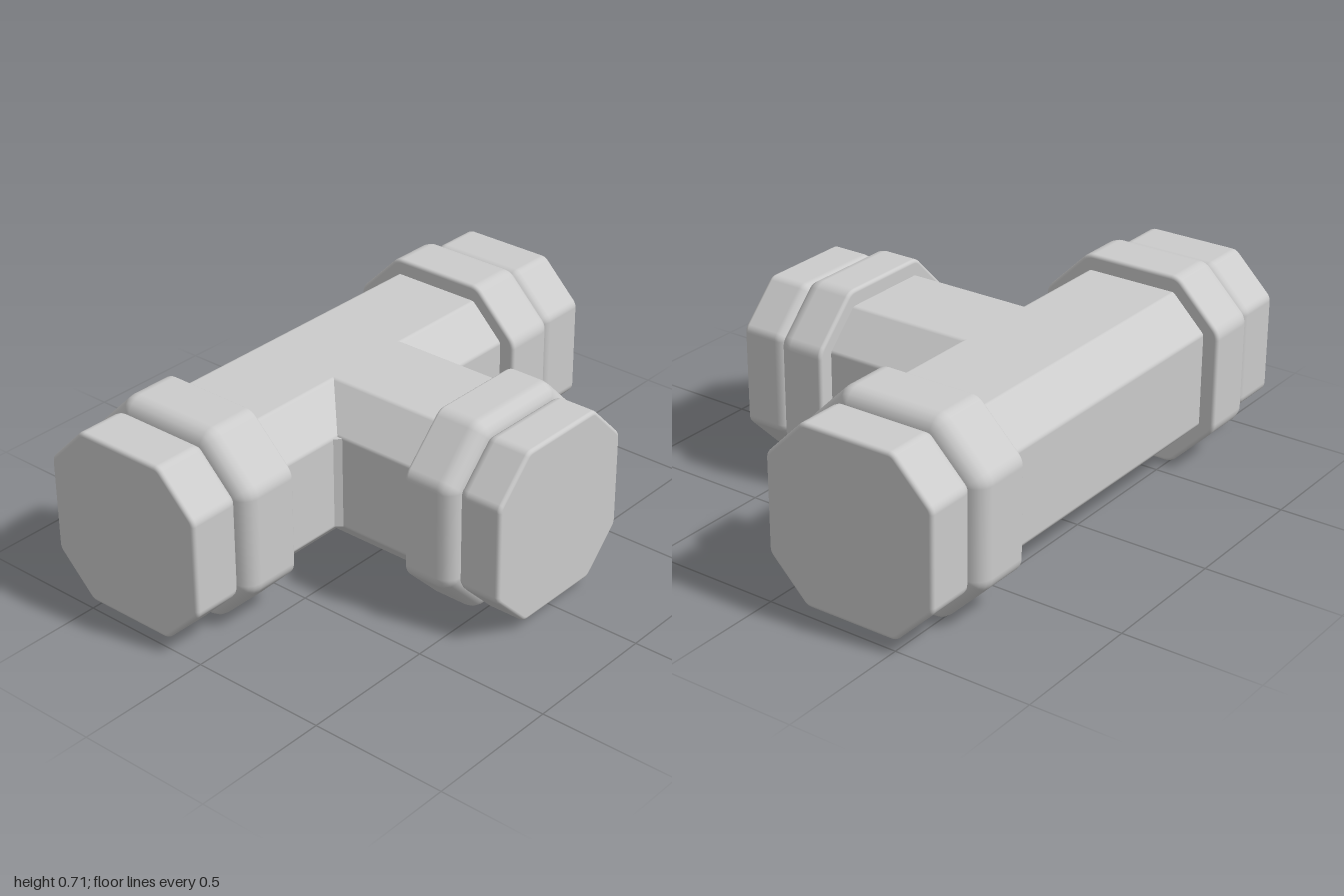
import * as THREE from 'three';

const material = new THREE.MeshStandardMaterial({ color: 0xcccccc });
const AXIS_Y = 0.357, AXIS_Z = -0.3225;
const TAN = Math.SQRT2 - 1;

// Octagonal bar along z: apothem, half width of the flats, rounded corners of radius r,
// end edges rounded by b0 (start) and b1 (end).
function octBar(name, z0, z1, apothem, half, r, b0, b1) {
  const A = apothem - r, h = half - r * TAN;
  const corners = [[A, h], [h, A], [-h, A], [-A, h], [-A, -h], [-h, -A], [h, -A], [A, -h]];
  const STEPS = 4;

  // Cross-section points with their outward directions
  const section = [];
  corners.forEach(([x, y], k) => {
    for (let i = 0; i <= STEPS; i++) {
      const t = (k + i / STEPS) * Math.PI / 4;
      section.push([x, y, Math.cos(t), Math.sin(t)]);
    }
  });

  // Lengthwise rings: z, skeleton scale, radius, radial normal, axial normal
  const rings = [[z0, 0, 0, 0, -1], [z0, 1, r - b0, 0, -1]];
  for (let i = 0; i <= STEPS; i++) {
    const p = i / STEPS * Math.PI / 2, s = Math.sin(p), c = Math.cos(p);
    rings.push([z0 + b0 * (1 - c), 1, r - b0 * (1 - s), s, -c]);
  }
  for (let i = 0; i <= STEPS; i++) {
    const p = i / STEPS * Math.PI / 2, s = Math.sin(p), c = Math.cos(p);
    rings.push([z1 - b1 * (1 - s), 1, r - b1 * (1 - c), c, s]);
  }
  rings.push([z1, 1, r - b1, 0, 1], [z1, 0, 0, 0, 1]);

  const pos = [], nor = [], idx = [], n = section.length;
  rings.forEach(([z, s, rad, nr, nz], i) => {
    section.forEach(([x, y, c, d], j) => {
      pos.push(x * s + c * rad, y * s + d * rad, z);
      nor.push(c * nr, d * nr, nz);
      if (i === rings.length - 1) return;
      const a = i * n + j, b = i * n + (j + 1) % n;
      idx.push(a, b, b + n, a, b + n, a + n);
    });
  });
  const geo = new THREE.BufferGeometry();
  geo.setAttribute('position', new THREE.Float32BufferAttribute(pos, 3));
  geo.setAttribute('normal', new THREE.Float32BufferAttribute(nor, 3));
  geo.setIndex(idx);
  const mesh = new THREE.Mesh(geo, material);
  mesh.name = name;
  return mesh;
}

// Collar and end cap of one arm, pointing along +z
function fitting(name, start, groove, end) {
  const g = new THREE.Group();
  g.name = name;
  g.add(octBar('collar', start, groove, 0.355, 0.185, 0.06, 0.013, 0.06));
  g.add(octBar('endCap', groove - 0.003, end, 0.322, 0.175, 0.04, 0.04, 0.014));
  return g;
}

export function createModel() {
  const model = new THREE.Group();
  model.name = 'pipeTee';
  const tee = new THREE.Group();
  tee.name = 'tee';
  tee.position.set(0, AXIS_Y, AXIS_Z);
  model.add(tee);

  // Straight run and branch
  const run = octBar('mainPipe', -0.65, 0.65, 0.297, 0.172, 0.02, 0, 0);
  run.rotation.y = Math.PI / 2;
  tee.add(run, octBar('branchPipe', 0.14, 0.7, 0.297, 0.172, 0.02, 0, 0));

  // Fittings on the three ends
  for (const s of [1, -1]) {
    const f = fitting(s > 0 ? 'leftFitting' : 'rightFitting', 0.575, 0.8, 1);
    f.rotation.y = s * Math.PI / 2;
    tee.add(f);

    // Small fillet where the branch meets the run
    const fillet = new THREE.Mesh(new THREE.BoxGeometry(0.03, 0.34, 0.03), material);
    fillet.name = 'junctionFillet';
    fillet.position.set(s * 0.297, 0, 0.297);
    fillet.rotation.y = Math.PI / 4;
    tee.add(fillet);
  }
  tee.add(fitting('frontFitting', 0.635, 0.828, 0.9995));
  return model;
}
